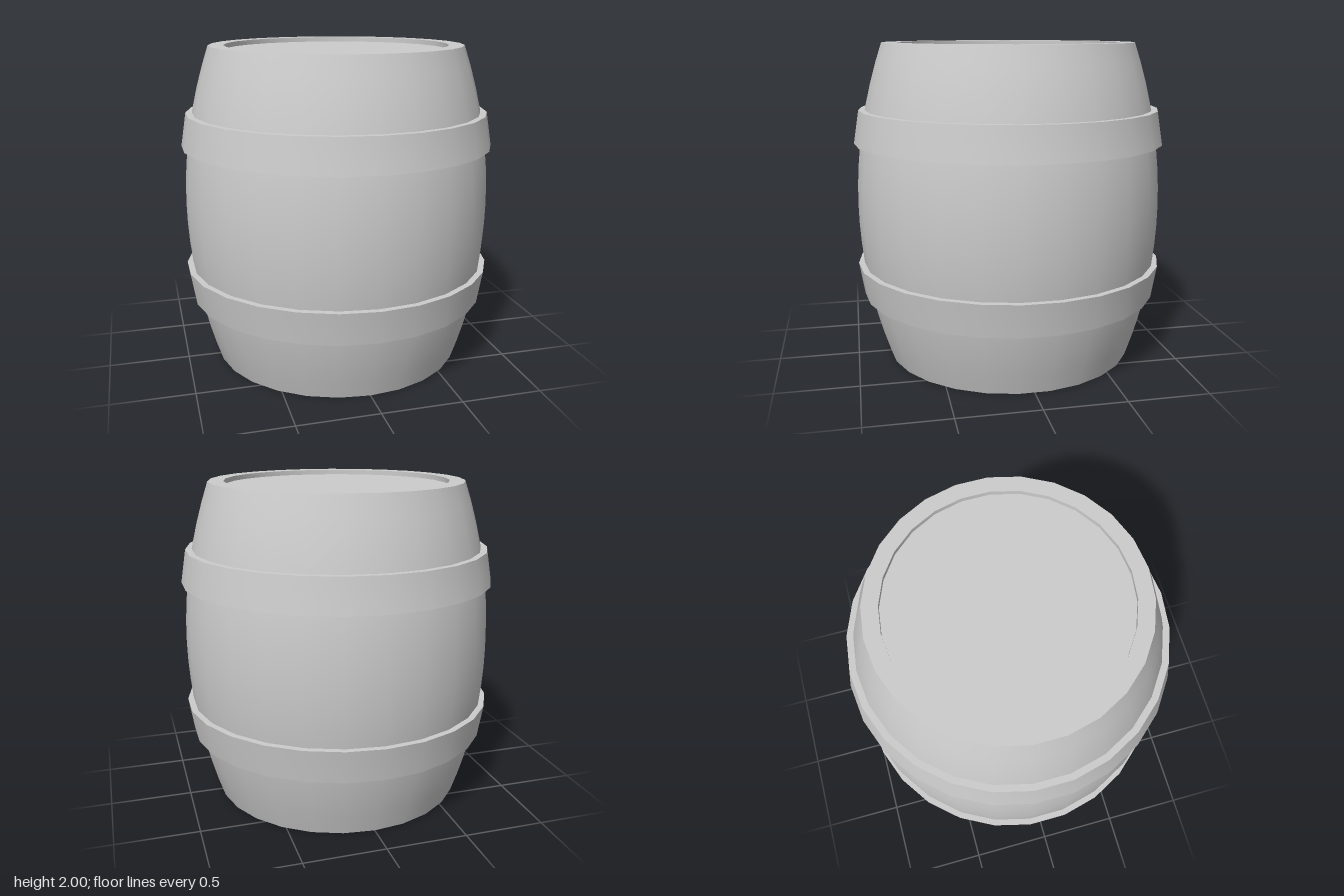
import * as THREE from 'three';
import { toCreasedNormals } from 'three/addons/utils/BufferGeometryUtils.js';

const SIDES = 26;
const END_R = 0.79, BELLY_R = 0.965, HEAD_R = 0.695, RECESS = 0.03;

export function createModel() {
  const barrel = new THREE.Group();
  barrel.name = 'barrel';
  const material = new THREE.MeshStandardMaterial({ color: 0xcccccc });

  const add = (name, geometry) => {
    const mesh = new THREE.Mesh(geometry, material);
    mesh.name = name;
    barrel.add(mesh);
    return mesh;
  };
  // Profile of [radius, height] pairs, running upwards on the outside
  const lathe = (profile) => toCreasedNormals(
    new THREE.LatheGeometry(profile.map(([r, y]) => new THREE.Vector2(r, y)), SIDES), 0.5);

  // Bulging staves with flat end rims and the short inner walls of the recesses
  const profile = [[HEAD_R, RECESS], [HEAD_R, 0]];
  const steps = 16;
  for (let i = 0; i <= steps; i++) {
    const t = (i / steps) * 2 - 1;
    profile.push([BELLY_R - (BELLY_R - END_R) * t * t, 1 + t]);
  }
  profile.push([HEAD_R, 2], [HEAD_R, 2 - RECESS]);
  add('staves', lathe(profile));

  // Recessed heads and tapered hoops, mirrored about the middle
  for (const side of [1, -1]) {
    const label = side > 0 ? 'top' : 'bottom';

    const head = add(label + 'Head', new THREE.CircleGeometry(HEAD_R, SIDES, Math.PI / 2));
    head.rotation.x = -side * Math.PI / 2;
    head.position.y = 1 + side * (1 - RECESS);

    const hoop = [[0.93, 0.385], [0.977, 0.385], [0.943, 0.592], [0.895, 0.592]]
      .map(([r, d]) => [r, 1 + side * d]);
    add(label + 'Hoop', lathe(side > 0 ? hoop : hoop.reverse()));
  }
  return barrel;
}
